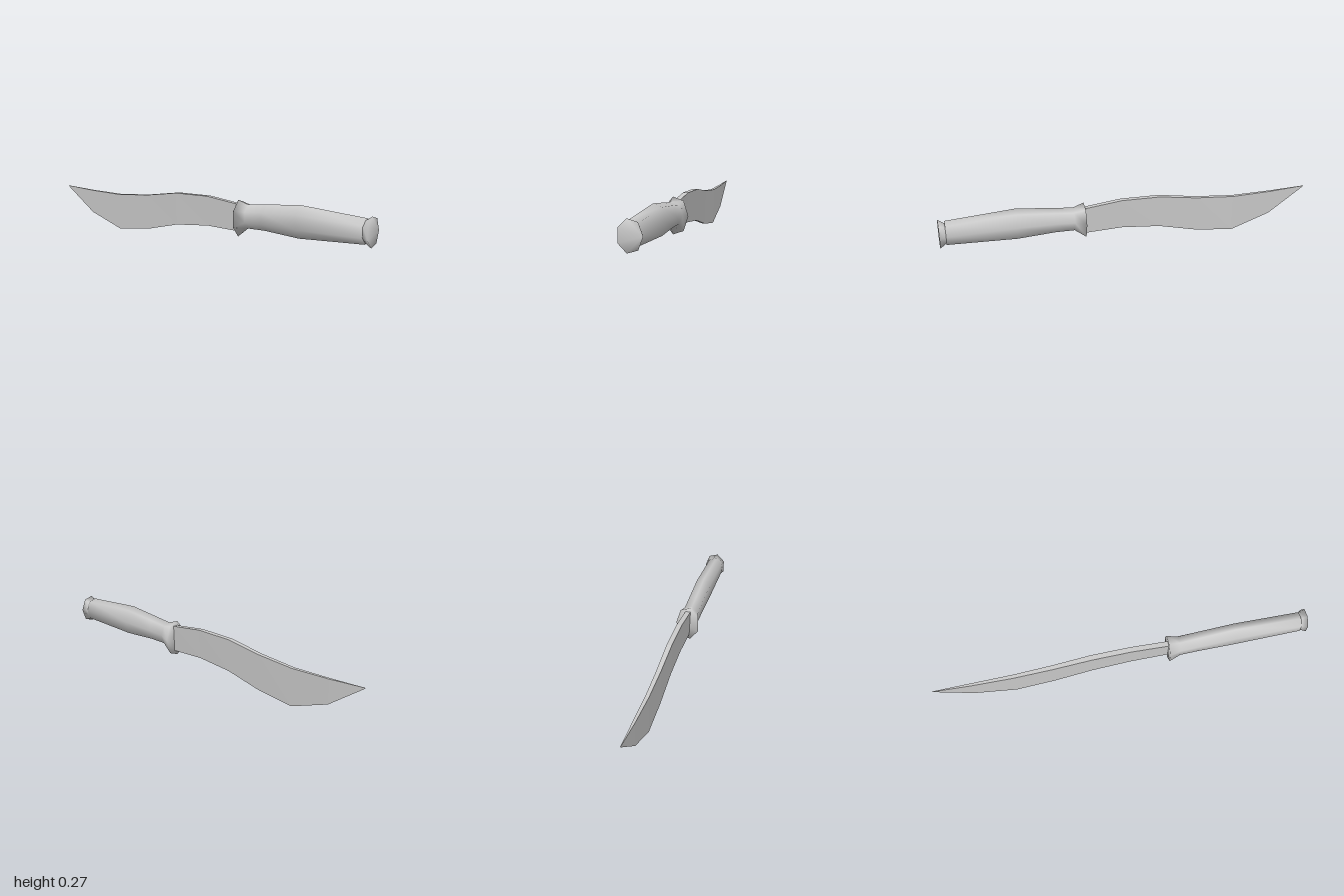
import * as THREE from 'three';

// Skins a list of equal-length rings ordered from +z to -z, each counter-clockwise seen from +z
function loft(rings, smooth) {
  const n = rings[0].length;
  const pos = rings.flat(2);
  const idx = [];
  for (let i = 0; i < rings.length - 1; i++) {
    for (let j = 0; j < n; j++) {
      const k = (j + 1) % n;
      const a = i * n + j, b = i * n + k, c = a + n, d = b + n;
      idx.push(a, c, b, b, c, d);
    }
  }
  const last = (rings.length - 1) * n;
  for (let j = 1; j < n - 1; j++) {
    idx.push(0, j, j + 1, last, last + j + 1, last + j);
  }
  let geo = new THREE.BufferGeometry();
  geo.setAttribute('position', new THREE.Float32BufferAttribute(pos, 3));
  geo.setIndex(idx);
  if (!smooth) geo = geo.toNonIndexed();
  geo.computeVertexNormals();
  return geo;
}

// Seven-sided oval ring between a bottom and a top height
function oval(z, bottom, top, rx, cx = -0.002) {
  const cy = (bottom + top) / 2, ry = (top - bottom) / 2 / 0.975;
  return Array.from({ length: 7 }, (_, i) => {
    const a = (i / 7) * Math.PI * 2;
    return [cx + Math.cos(a) * rx, cy + Math.sin(a) * ry, z];
  });
}

export function createModel() {
  const group = new THREE.Group();
  const add = (name, geometry, flatShading) => {
    const material = new THREE.MeshStandardMaterial({ color: 0xcccccc, flatShading });
    const mesh = new THREE.Mesh(geometry, material);
    mesh.name = name;
    group.add(mesh);
  };

  // Pommel: flared cap at the butt
  add('pommel', loft([
    oval(1, 0.104, 0.255, 0.06, 0),
    oval(0.97, 0.125, 0.235, 0.045),
    oval(0.955, 0.125, 0.235, 0.045),
  ], true), false);

  // Grip swelling in the middle, flaring into the guard
  add('gripAndGuard', loft([
    oval(0.967, 0.118, 0.245, 0.05),
    oval(0.61, 0.1, 0.268, 0.05),
    oval(0.41, 0.114, 0.247, 0.05),
    oval(0.31, 0.113, 0.236, 0.05),
    oval(0.25, 0.064, 0.256, 0.065),
  ], true), false);

  // Blade stations: z, edge height, spine height, half thickness of spine
  const stations = [
    [0.27, 0.09, 0.23, 0.014],
    [0.25, 0.09, 0.232, 0.014],
    [0.05, 0.096, 0.254, 0.014],
    [-0.16, 0.076, 0.25, 0.014],
    [-0.37, 0.026, 0.218, 0.012],
    [-0.58, 0, 0.2, 0.01],
    [-0.8, 0.073, 0.203, 0.007],
    [-1, 0.208, 0.212, 0.001],
  ];
  const cx = -0.003;
  add('blade', loft(stations.map(([z, low, high, t]) => [
    [cx + t * 0.55, low, z],
    [cx + t, high, z],
    [cx - t, high, z],
    [cx - t * 0.55, low, z],
  ]), false), true);

  return group;
}
